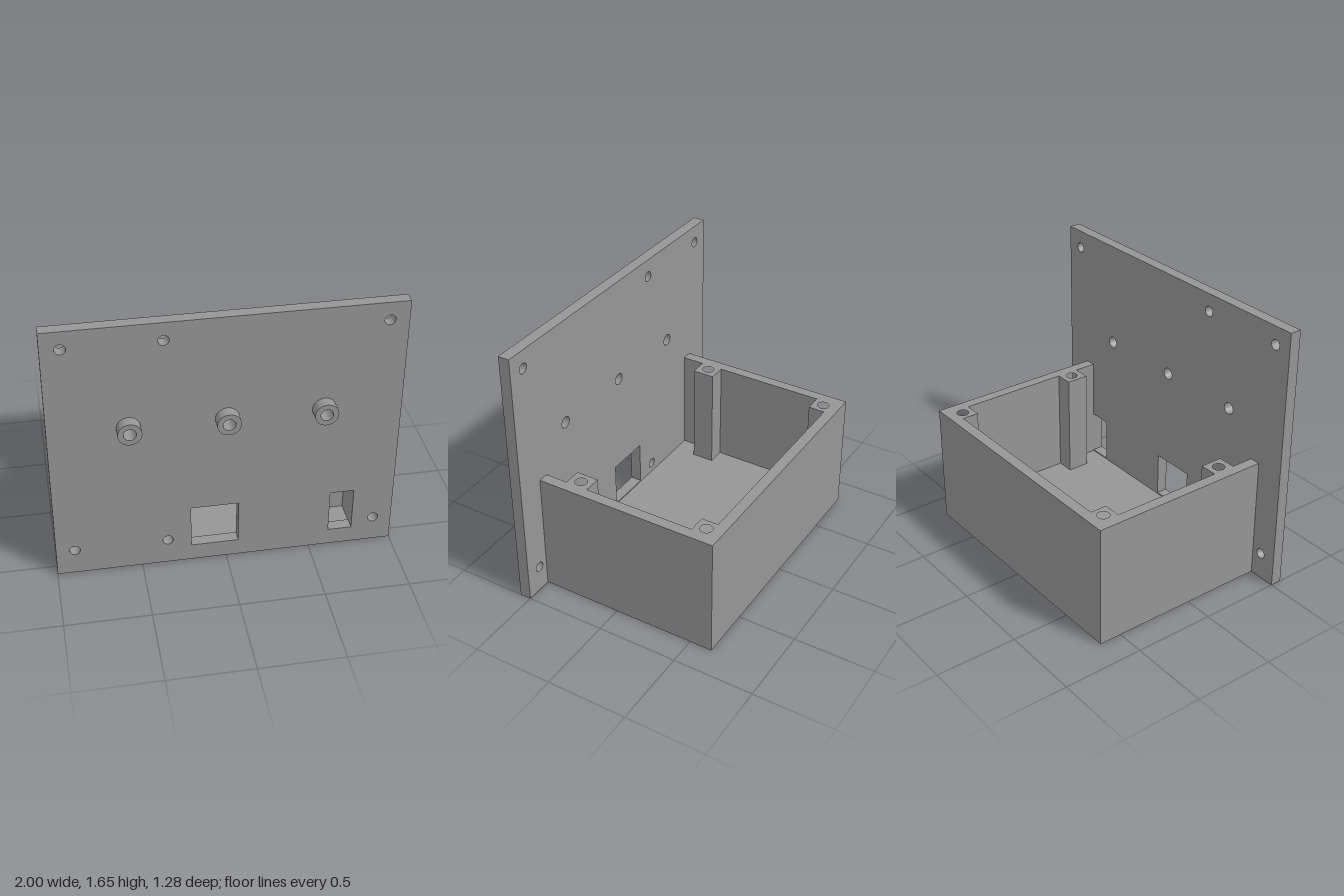
import * as THREE from 'three';
import { toCreasedNormals } from 'three/addons/utils/BufferGeometryUtils.js';

const grey = new THREE.MeshStandardMaterial({ color: 0x959595 });
grey.name = 'grey plastic';

const polygon = (points) => new THREE.Shape(points.map(([x, y]) => new THREE.Vector2(x, y)));
const rect = (x0, y0, x1, y1) => polygon([[x0, y0], [x1, y0], [x1, y1], [x0, y1]]);

function addRoundHole(shape, x, y, r) {
  const hole = new THREE.Path();
  hole.absarc(x, y, r, 0, Math.PI * 2, true);
  shape.holes.push(hole);
}

function extrude(name, shape, depth) {
  const solid = new THREE.ExtrudeGeometry(shape, { depth, bevelEnabled: false, curveSegments: 32 });
  const mesh = new THREE.Mesh(toCreasedNormals(solid, 0.6), grey);
  mesh.name = name;
  return mesh;
}

export function createModel() {
  const model = new THREE.Group();
  model.name = 'panelEnclosure';
  const bossX = [-0.55, 0, 0.55];
  const bossY = 1.0;
  const boreRadius = 0.036;

  // Front panel with screw holes, bores and two rectangular openings
  const panel = rect(-1, 0, 1, 1.65);
  for (const x of [-0.89, -0.345, 0.89]) {
    for (const y of [0.165, 1.54]) addRoundHole(panel, x, y, 0.031);
  }
  for (const x of bossX) addRoundHole(panel, x, bossY, boreRadius);
  panel.holes.push(rect(-0.208, 0.107, 0.072, 0.385), rect(0.618, 0.107, 0.76, 0.385));
  const frontPanel = extrude('frontPanel', panel, 0.07);
  frontPanel.position.z = 0.5;
  model.add(frontPanel);

  // Hollow bosses on the panel front
  for (const x of bossX) {
    const ring = new THREE.Shape().absarc(0, 0, 0.068, 0, Math.PI * 2, false);
    addRoundHole(ring, 0, 0, boreRadius);
    const boss = extrude('boss', ring, 0.07);
    boss.position.set(x, bossY, 0.57);
    model.add(boss);
  }

  // Box floor with a large round opening (shape y is -z)
  const floorHeight = 0.1;
  const base = rect(-0.825, -0.5, 0.825, 0.64);
  addRoundHole(base, 0.34, 0.26, 0.243);
  const floor = extrude('boxFloor', base, floorHeight);
  floor.rotation.x = -Math.PI / 2;
  model.add(floor);

  // Three walls with corner posts, drawn as one mirrored outline
  const half = [
    [0.825, 0.64], [0.825, -0.5], [0.76, -0.5],
    [0.76, -0.36], [0.65, -0.36], [0.65, -0.22], [0.76, -0.22],
    [0.76, 0.47], [0.65, 0.47], [0.65, 0.573],
  ];
  const mirrored = half.map(([x, y]) => [-x, y]).reverse();
  const outline = polygon([...half, ...mirrored]);
  for (const x of [-0.715, 0.715]) {
    for (const y of [-0.29, 0.537]) addRoundHole(outline, x, y, boreRadius);
  }
  const walls = extrude('boxWallsAndPosts', outline, 0.76 - floorHeight);
  walls.rotation.x = -Math.PI / 2;
  walls.position.y = floorHeight;
  model.add(walls);

  return model;
}
